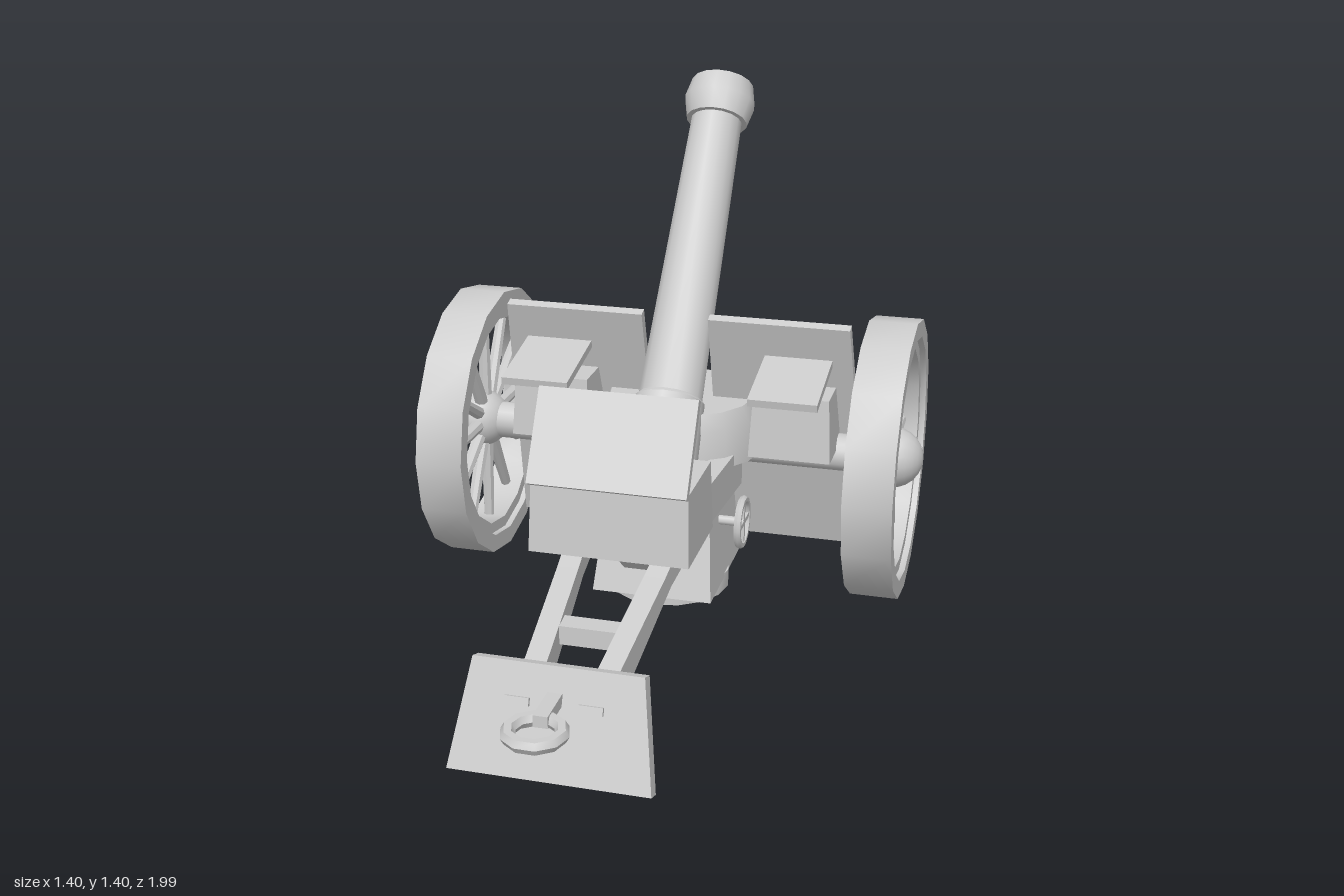
import * as THREE from 'three';
import { toCreasedNormals } from 'three/addons/utils/BufferGeometryUtils.js';

const paint = new THREE.MeshStandardMaterial({ color: 0xcccccc });
paint.name = 'lightGrey';

const crease = (g) => toCreasedNormals(g, 0.6);
const V = (pts) => pts.map(([x, y]) => new THREE.Vector2(x, y));

function add(parent, name, geometry, x = 0, y = 0, z = 0) {
  const mesh = new THREE.Mesh(geometry, paint);
  mesh.name = name;
  mesh.position.set(x, y, z);
  parent.add(mesh);
  return mesh;
}
const box = (w, h, d) => new THREE.BoxGeometry(w, h, d);
const cyl = (r1, r2, h, n = 16) => new THREE.CylinderGeometry(r1, r2, h, n);
const lathe = (pts, n = 16) => crease(new THREE.LatheGeometry(V(pts), n));

function plate(points, depth, holes = []) {
  const shape = new THREE.Shape(V(points));
  holes.forEach((h) => shape.holes.push(new THREE.Path(V(h))));
  return new THREE.ExtrudeGeometry(shape, { depth, bevelEnabled: false });
}

// box whose top face is scaled and shifted in z
function taperedBox(w, h, d, sx, sz, shiftZ = 0) {
  const g = box(w, h, d);
  const p = g.attributes.position;
  for (let i = 0; i < p.count; i++) {
    if (p.getY(i) > 0) {
      p.setX(i, p.getX(i) * sx);
      p.setZ(i, p.getZ(i) * sz + shiftZ);
    }
  }
  g.computeVertexNormals();
  return g;
}

function makeWheel(side) {
  const wheel = new THREE.Group();
  wheel.name = side > 0 ? 'leftWheel' : 'rightWheel';
  // stepped rim, turned so its axle runs along x
  const rim = lathe([
    [0.395, -0.067], [0.395, 0.067], [0.345, 0.067], [0.345, 0.05],
    [0.312, 0.05], [0.312, -0.05], [0.345, -0.05], [0.345, -0.067], [0.395, -0.067],
  ]);
  add(wheel, 'rim', rim).rotation.z = Math.PI / 2;
  add(wheel, 'hub', new THREE.SphereGeometry(0.086, 16, 12), side * 0.016).rotation.z = Math.PI / 2;
  for (let i = 0; i < 12; i++) {
    const a = (i / 12) * Math.PI * 2;
    const spoke = add(wheel, 'spoke', crease(cyl(0.015, 0.02, 0.28, 8)), 0, Math.cos(a) * 0.19, Math.sin(a) * 0.19);
    spoke.rotation.x = a;
  }
  wheel.position.set(side * 0.598, 0.41, -0.435);
  return wheel;
}

function makeBarrel() {
  // local +y is the bore direction, origin at the muzzle, local -z is the underside
  const gun = new THREE.Group();
  gun.name = 'gun';
  add(gun, 'barrel', lathe([
    [0, -1.4], [0.09, -1.4], [0.113, -1.34], [0.1, -1.0], [0.091, -0.99],
    [0.075, -0.122], [0.09, -0.122], [0.105, -0.06], [0.092, 0],
    [0.06, 0], [0.06, -0.15], [0, -0.15],
  ]));
  add(gun, 'breechBlock', box(0.15, 0.18, 0.2), 0, -1.374, 0);
  add(gun, 'recoilCylinder', crease(cyl(0.052, 0.052, 0.45, 12)), 0, -0.865, -0.15);
  add(gun, 'recoilRod', box(0.034, 0.26, 0.03), 0, -0.52, -0.15);
  add(gun, 'rodBracket', box(0.075, 0.055, 0.11), 0, -0.405, -0.115);
  gun.position.set(0, 1.349, -0.922);
  gun.rotation.x = -0.669;
  return gun;
}

function makeTrail() {
  const trail = new THREE.Group();
  trail.name = 'trail';
  const profile = [[0.77, 0.085], [0.72, 0.2], [0.3, 0.312], [-0.02, 0.415], [-0.4, 0.42], [-0.4, 0.3], [0.05, 0.3], [0.25, 0.268]];
  for (const s of [-1, 1]) {
    const g = plate([...profile].reverse(), 0.056);
    g.translate(0, 0, -0.028);
    g.rotateY(-Math.PI / 2);
    add(trail, 'trailBeam', g, s * 0.135, 0, 0).rotation.y = -s * 0.068;
  }
  add(trail, 'crossBar', box(0.18, 0.05, 0.06), 0, 0.23, 0.48);

  // spade, leaning with its foot to the rear
  const spade = new THREE.Group();
  spade.name = 'spade';
  add(spade, 'spadePlate', taperedBox(0.5, 0.272, 0.043, 0.84, 1));
  for (const s of [-1, 1]) add(spade, 'spadeLug', box(0.06, 0.02, 0.012), s * 0.09, 0.045, 0.025);
  spade.position.set(0, 0.142, 0.772);
  spade.rotation.x = -0.35;
  trail.add(spade);

  // towing eye
  add(trail, 'towBar', box(0.036, 0.03, 0.11), 0, 0.205, 0.825);
  add(trail, 'towRing', crease(new THREE.TorusGeometry(0.064, 0.018, 6, 10)), 0, 0.2, 0.918).rotation.x = Math.PI / 2;
  return trail;
}

function makeAmmoBox() {
  const ammo = new THREE.Group();
  ammo.name = 'ammunitionBox';
  add(ammo, 'chest', taperedBox(0.42, 0.19, 0.268, 0.975, 0.91), 0, 0.455, 0.195);
  add(ammo, 'lid', box(0.415, 0.25, 0.024), 0, 0.657, 0.276).rotation.x = -0.51;
  const shell = [[0.038, 0], [0.038, 0.05], [0.032, 0.085], [0.02, 0.105], [0, 0.115]];
  for (const x of [-0.107, 0, 0.107]) add(ammo, 'shell', lathe(shell, 12), x, 0.545, 0.195);
  return ammo;
}

function makeShield() {
  const shield = new THREE.Group();
  shield.name = 'shield';
  // tilted plate with a slot for the barrel
  const h = 0.767;
  const outline = [[-0.53, 0], [0.53, 0], [0.492, h], [0.095, h], [0.095, 0.4], [-0.095, 0.4], [-0.095, h], [-0.492, h]];
  add(shield, 'shieldPlate', plate(outline, 0.028), 0, 0.075, -0.61).rotation.x = 0.311;
  for (const s of [-1, 1]) {
    add(shield, 'stowageBox', taperedBox(0.23, 0.18, 0.3, 0.92, 0.93), s * 0.345, 0.52, -0.43);
    add(shield, 'ledge', box(0.19, 0.022, 0.27), s * 0.347, 0.665, -0.278).rotation.x = 0.2;
  }
  return shield;
}

function makeMount() {
  const mount = new THREE.Group();
  mount.name = 'mount';
  add(mount, 'axle', crease(cyl(0.053, 0.053, 1.16, 16)), 0, 0.41, -0.435).rotation.z = Math.PI / 2;
  add(mount, 'turntable', lathe([[0, 0.385], [0.235, 0.385], [0.232, 0.5], [0.21, 0.545], [0, 0.545]], 16), 0, 0, -0.45);
  add(mount, 'pedestal', taperedBox(0.34, 0.35, 0.38, 0.82, 0.7, -0.04), 0, 0.23, -0.29);
  add(mount, 'groundPlate', crease(cyl(0.175, 0.175, 0.05, 16)), 0, 0.04, -0.305);

  // elevating handwheel on the left side
  const handwheel = new THREE.Group();
  handwheel.name = 'handwheel';
  add(handwheel, 'handwheelRing', crease(new THREE.TorusGeometry(0.066, 0.011, 6, 14)));
  for (let i = 0; i < 2; i++) add(handwheel, 'handwheelSpoke', box(0.13, 0.014, 0.014)).rotation.z = (i * Math.PI) / 2;
  add(handwheel, 'handwheelShaft', cyl(0.014, 0.014, 0.1, 8), 0, 0, -0.045).rotation.x = Math.PI / 2;
  handwheel.position.set(0.22, 0.235, -0.27);
  handwheel.rotation.y = Math.PI / 2;
  mount.add(handwheel);

  // sighting tube on the right side
  add(mount, 'sightTube', crease(cyl(0.022, 0.022, 0.11, 10)), -0.13, 0.43, 0).rotation.x = -0.7;
  return mount;
}

export function createModel() {
  const model = new THREE.Group();
  model.name = 'fieldGun';
  model.add(makeWheel(1), makeWheel(-1), makeBarrel(), makeTrail(), makeAmmoBox(), makeShield(), makeMount());
  // rest the lowest edge on the ground
  model.updateMatrixWorld(true);
  model.position.y = -new THREE.Box3().setFromObject(model, true).min.y;
  const root = new THREE.Group();
  root.name = 'model';
  root.add(model);
  return root;
}
